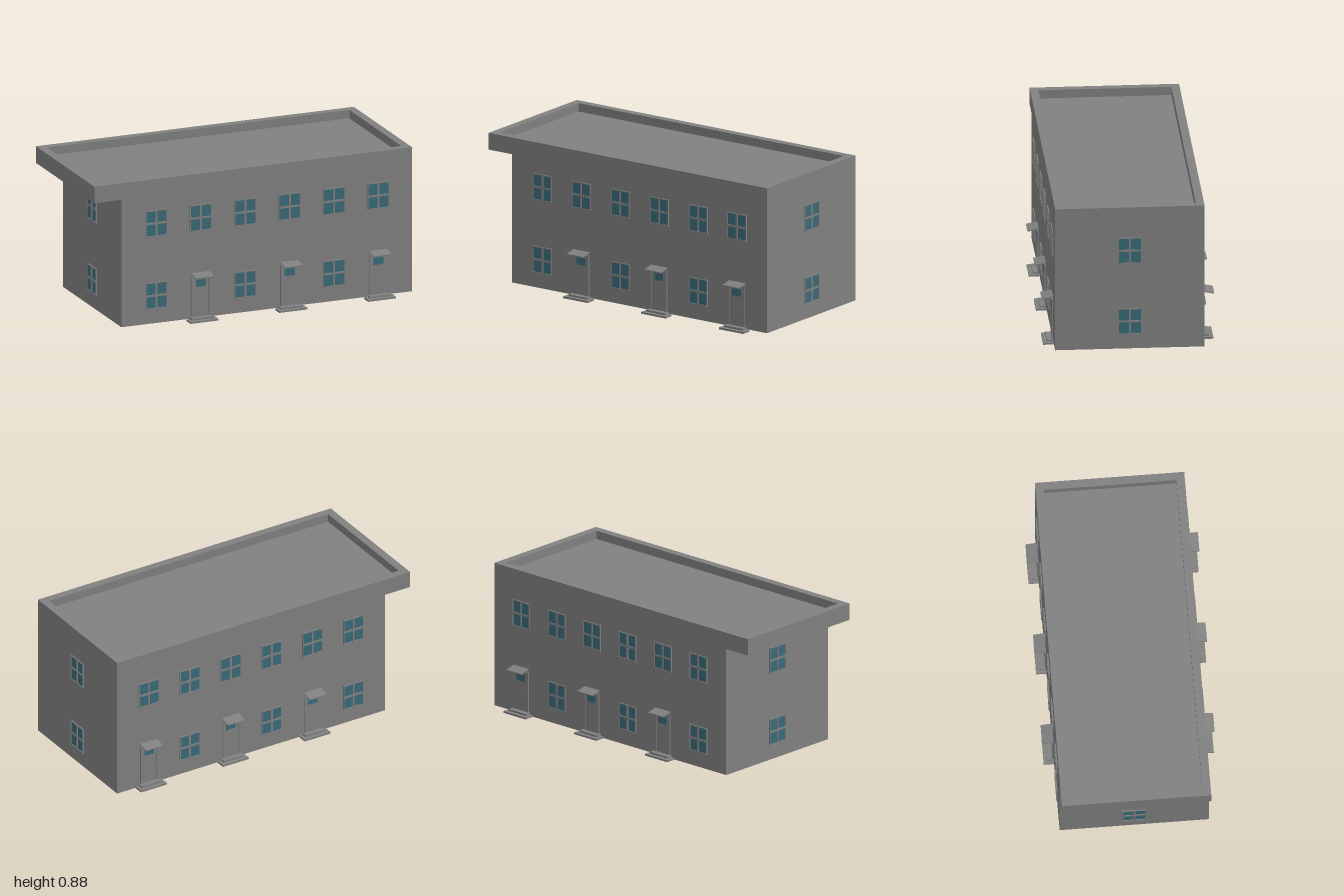
import * as THREE from 'three';

const wallMat = new THREE.MeshStandardMaterial({ color: 0x808080, side: THREE.DoubleSide });
wallMat.name = 'grey';
const glassMat = new THREE.MeshStandardMaterial({ color: 0x386a78 });
glassMat.name = 'blueGlass';

// Main sizes
const X0 = -0.83, X1 = 0.99, ROOF_X0 = -1, HALF_Z = 0.432;
const BASE = 0.012, EAVE = 0.78, DECK = 0.83, TOP = 0.88, RIM = 0.048;
const LOW = 0.18, HIGH = 0.615; // window centres

function add(parent, name, geo, mat, x = 0, y = 0, z = 0) {
  const mesh = new THREE.Mesh(geo, mat);
  mesh.name = name;
  mesh.position.set(x, y, z);
  parent.add(mesh);
  return mesh;
}
const box = (w, h, d) => new THREE.BoxGeometry(w, h, d);

function rect(Type, x0, y0, x1, y1) {
  const p = new Type();
  p.moveTo(x0, y0).lineTo(x1, y0).lineTo(x1, y1).lineTo(x0, y1).closePath();
  return p;
}

// Window facing +z, its wall plane at z = 0
const PANE_W = 0.057, PANE_H = 0.068, BAR = 0.006;
const frameShape = rect(THREE.Shape, -0.068, -0.08, 0.068, 0.08);
const panes = [];
for (const sx of [-1, 1]) for (const sy of [-1, 1]) {
  const cx = sx * (BAR + PANE_W / 2), cy = sy * (BAR + PANE_H / 2);
  panes.push([cx, cy]);
  frameShape.holes.push(rect(THREE.Path, cx - PANE_W / 2, cy - PANE_H / 2, cx + PANE_W / 2, cy + PANE_H / 2));
}
const frameGeo = new THREE.ExtrudeGeometry(frameShape, { depth: 0.007, bevelEnabled: false });
const paneGeo = box(PANE_W, PANE_H, 0.004);

function makeWindow(parent, x, y) {
  const win = new THREE.Group();
  win.name = 'window';
  win.position.set(x, y, 0);
  add(win, 'windowFrame', frameGeo, wallMat);
  for (const [cx, cy] of panes) add(win, 'windowPane', paneGeo, glassMat, cx, cy, 0);
  parent.add(win);
}

// Entrance: door in a raised frame, small pane, sloping canopy, two steps
function makeEntrance(parent, x, lift) {
  const e = new THREE.Group();
  e.name = 'entrance';
  e.position.set(x, lift, 0);
  add(e, 'door', box(0.098, 0.24, 0.004), wallMat, 0, 0.14, 0.003);
  for (const s of [-1, 1]) add(e, 'doorPost', box(0.008, 0.245, 0.008), wallMat, s * 0.053, 0.1425, 0.004);
  add(e, 'doorLintel', box(0.098, 0.006, 0.008), wallMat, 0, 0.262, 0.004);
  add(e, 'doorPane', box(0.064, 0.043, 0.003), glassMat, 0, 0.222, 0.005);
  add(e, 'doorKnob', new THREE.SphereGeometry(0.004, 8, 6), wallMat, 0.038, 0.13, 0.007);
  const canopy = add(e, 'canopy', box(0.116, 0.006, 0.068), wallMat, 0, 0.276, 0.033);
  canopy.rotation.x = 0.2;
  add(e, 'lowerStep', box(0.175, 0.011, 0.06), wallMat, 0, 0.0055, 0.03);
  add(e, 'upperStep', box(0.135, 0.011, 0.037), wallMat, 0, 0.0165, 0.0185);
  parent.add(e);
}

function makeWall(parent, x0, x1) {
  add(parent, 'wall', new THREE.PlaneGeometry(x1 - x0, EAVE - BASE), wallMat, (x0 + x1) / 2, (BASE + EAVE) / 2, 0);
}

// Long facade; side = 1 for the front, -1 for the back
function makeFacade(side) {
  const f = new THREE.Group();
  f.name = side > 0 ? 'frontFacade' : 'backFacade';
  f.position.z = side * HALF_Z;
  if (side < 0) f.rotation.y = Math.PI;
  makeWall(f, side > 0 ? X0 : -X1, side > 0 ? X1 : -X0);
  for (let i = 0; i < 6; i++) {
    const x = -0.613 + i * 0.278;
    makeWindow(f, side * x, HIGH);
    if (i % 2 === 0) makeWindow(f, side * x, LOW);
    else makeEntrance(f, side * x, side > 0 ? 0 : 0.01);
  }
  return f;
}

// Short end wall with one window per storey
function makeEnd(side) {
  const e = new THREE.Group();
  e.name = side > 0 ? 'leftEnd' : 'rightEnd';
  e.position.x = side > 0 ? X1 : X0;
  e.rotation.y = side * Math.PI / 2;
  makeWall(e, -HALF_Z, HALF_Z);
  makeWindow(e, 0, LOW);
  makeWindow(e, 0, HIGH);
  return e;
}

// Roof: parapet ring, sunken deck and the soffit under the overhang
function makeRoof() {
  const roof = new THREE.Group();
  roof.name = 'roof';
  const ring = rect(THREE.Shape, ROOF_X0, -HALF_Z, X1, HALF_Z);
  ring.holes.push(rect(THREE.Path, ROOF_X0 + RIM, -HALF_Z + RIM, X1 - RIM, HALF_Z - RIM));
  const ringGeo = new THREE.ExtrudeGeometry(ring, { depth: TOP - EAVE, bevelEnabled: false });
  ringGeo.rotateX(-Math.PI / 2);
  add(roof, 'parapet', ringGeo, wallMat, 0, EAVE, 0);
  const w = X1 - ROOF_X0 - 2 * RIM;
  add(roof, 'roofDeck', box(w, DECK - EAVE, 2 * (HALF_Z - RIM)), wallMat,
    (ROOF_X0 + X1) / 2, (DECK + EAVE) / 2, 0);
  return roof;
}

export function createModel() {
  const model = new THREE.Group();
  model.name = 'townhouseBlock';
  for (const side of [1, -1]) model.add(makeFacade(side), makeEnd(side));
  model.add(makeRoof());
  return model;
}
